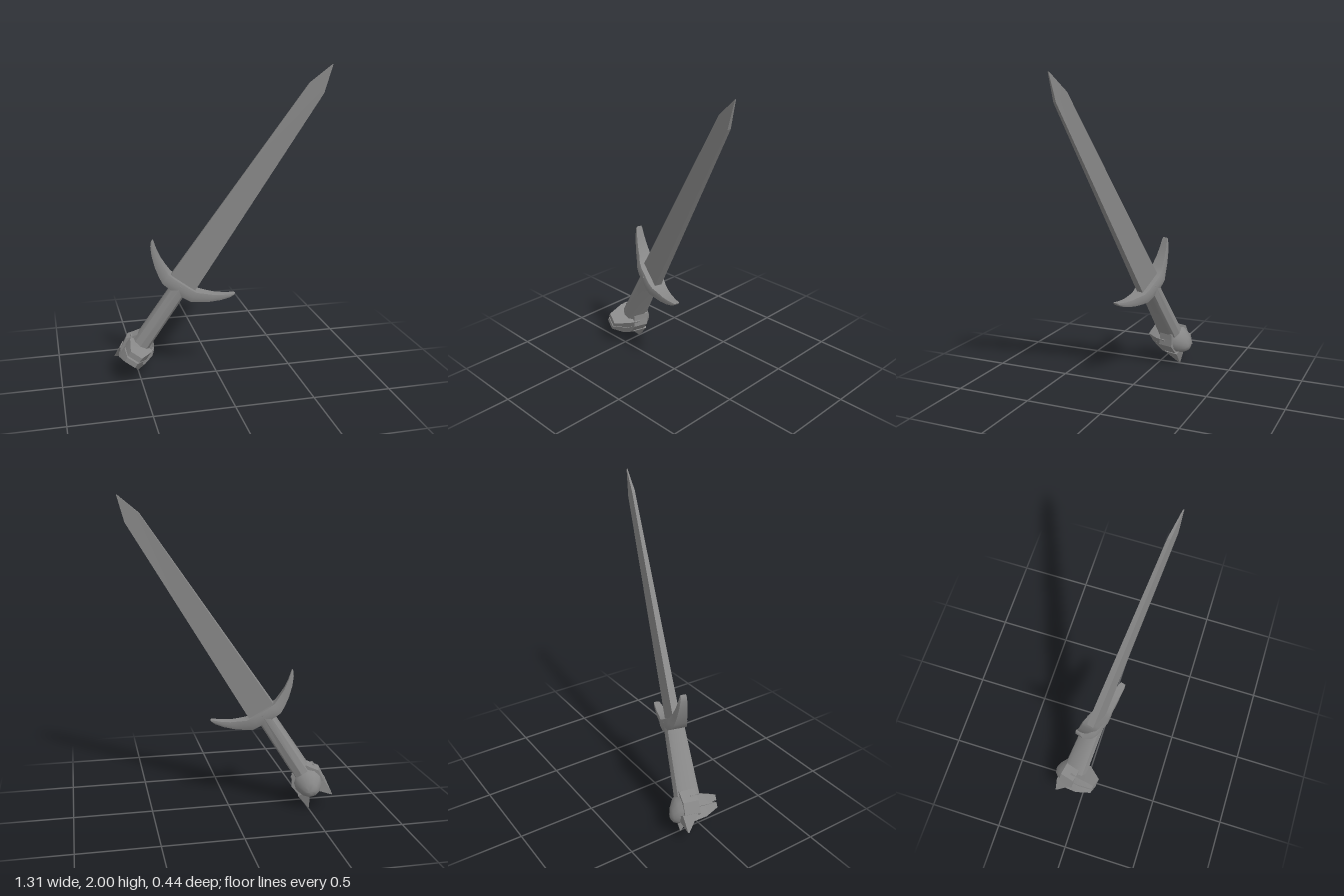
import * as THREE from 'three';
import { toCreasedNormals } from 'three/addons/utils/BufferGeometryUtils.js';

const steel = new THREE.MeshStandardMaterial({ color: 0x888888, side: THREE.DoubleSide });

// Skin a list of equal-length rings of points and cap both ends
function loft(rings, crease = 0.6) {
  const n = rings[0].length, last = rings.length - 1, pos = [];
  const tri = (a, b, c) => pos.push(...a, ...b, ...c);
  for (let i = 0; i < last; i++) {
    for (let j = 0; j < n; j++) {
      const k = (j + 1) % n;
      const a = rings[i][j], b = rings[i][k], c = rings[i + 1][k], d = rings[i + 1][j];
      tri(a, b, c);
      tri(a, c, d);
    }
  }
  for (let j = 1; j < n - 1; j++) {
    tri(rings[0][0], rings[0][j + 1], rings[0][j]);
    tri(rings[last][0], rings[last][j], rings[last][j + 1]);
  }
  const geo = new THREE.BufferGeometry();
  geo.setAttribute('position', new THREE.Float32BufferAttribute(pos, 3));
  return toCreasedNormals(geo, crease);
}

// Cross-sections, wound to face outwards along each axis
const corners = [[-1, -1], [1, -1], [1, 1], [-1, 1]];
const boxY = (y, hx, hz) => corners.map(([u, v]) => [v * hx, y, u * hz]);
const boxZ = (z, hx, y0, y1) => corners.map(([u, v]) => [u * hx, v < 0 ? y0 : y1, z]);
const roundZ = (z, y, hx, hy) => [...Array(12).keys()].map((i) => {
  const a = (i / 12) * Math.PI * 2;
  return [Math.cos(a) * hx, y + Math.sin(a) * hy, z];
});
const gripOutline = [[-1, -0.5], [-0.75, -0.83], [0, -1], [0.75, -0.83], [1, -0.5],
  [1, 0.5], [0.75, 0.83], [0, 1], [-0.75, 0.83], [-1, 0.5]];
const gripY = (y, hx, hz) => gripOutline.map(([u, v]) => [u * hx, y, -v * hz]);
const guardOutline = [[1, -0.85], [1, 0.85], [0, 1], [-1, 0.85], [-1, -0.85], [0, -1]];
const guardX = (x, y, hy, hz) => guardOutline.map(([u, v]) => [x, y + u * hy, v * hz]);

export function createModel() {
  const model = new THREE.Group();
  model.name = 'sword';
  const sword = new THREE.Group();
  sword.name = 'tiltedSword';
  model.add(sword);
  const add = (name, geo, parent = sword) => {
    const mesh = new THREE.Mesh(geo, steel);
    mesh.name = name;
    parent.add(mesh);
  };

  // Long tapering blade with flat edges and a short point
  add('blade', loft([
    boxY(-0.02, 0.093, 0.024), boxY(1.48, 0.053, 0.01), boxY(1.645, 0.002, 0.003),
  ], 0.1));

  // Grip with flat sides, rounded front and back, flaring towards the pommel
  add('grip', loft([
    gripY(-0.55, 0.062, 0.088), gripY(-0.44, 0.055, 0.082), gripY(0, 0.052, 0.066),
  ]));

  // Guard sweeping up on both sides to narrow, blunt tips
  const arm = [
    [0.06, -0.018, 0.036, 0.068], [0.105, -0.016, 0.036, 0.06],
    [0.15, 0.005, 0.034, 0.048], [0.205, 0.036, 0.028, 0.04],
    [0.26, 0.078, 0.022, 0.031], [0.3, 0.118, 0.015, 0.024], [0.312, 0.134, 0.007, 0.019],
  ];
  add('guard', loft([
    ...arm.slice().reverse().map(([x, ...r]) => guardX(-x, ...r)),
    ...arm.map((r) => guardX(...r)),
  ], 0.75));

  // Pommel: a flared plate
  const pommel = new THREE.Group();
  pommel.name = 'pommel';
  sword.add(pommel);
  const half = [[0.055, -0.435], [0.075, -0.465], [0.104, -0.505], [0.094, -0.585]];
  const plate = new THREE.Shape([
    ...half, [0.045, -0.615], [-0.045, -0.615], ...half.map(([x, y]) => [-x, y]).reverse(),
  ].map(([x, y]) => new THREE.Vector2(x, y)));
  const plateGeo = new THREE.ExtrudeGeometry(plate, { depth: 0.1, bevelEnabled: false });
  plateGeo.translate(0, 0, -0.06);
  add('pommelPlate', plateGeo, pommel);

  // Forked tail: two broad points under the plate
  for (const s of [-1, 1]) {
    const base = [[0.01, -0.095], [0.1, -0.075], [0.1, 0.025], [0.01, 0.025]];
    const tip = [[0.085, -0.058], [0.091, -0.058], [0.091, -0.052], [0.085, -0.052]];
    const ring = (pts, y) => {
      const r = pts.map(([x, z]) => [s * x, y, z]);
      return s > 0 ? r.reverse() : r;
    };
    add(s > 0 ? 'leftTail' : 'rightTail', loft([ring(tip, -0.688), ring(base, -0.58)], 0.1), pommel);
  }

  // Blunt cone swelling out of the back of the plate
  add('backBulge', loft([
    roundZ(-0.128, -0.575, 0.018, 0.02), roundZ(-0.116, -0.568, 0.045, 0.048),
    roundZ(-0.085, -0.548, 0.078, 0.082), roundZ(-0.04, -0.53, 0.1, 0.09),
  ], 0.9), pommel);

  // Tapering front block split by a slot into an upper and a lower part
  add('upperFrontBlock', loft([
    boxZ(0, 0.088, -0.535, -0.47), boxZ(0.075, 0.08, -0.535, -0.474),
    boxZ(0.172, 0.042, -0.535, -0.5),
  ], 0.3), pommel);
  add('lowerFrontBlock', loft([
    boxZ(0, 0.085, -0.625, -0.547), boxZ(0.08, 0.075, -0.615, -0.547),
    boxZ(0.172, 0.038, -0.58, -0.547),
  ], 0.6), pommel);
  add('slotCore', loft([
    boxZ(0, 0.07, -0.56, -0.52), boxZ(0.145, 0.042, -0.56, -0.52),
  ], 0.3), pommel);

  // Lean the whole sword so the point is up, left and forward
  const along = new THREE.Vector3(0.535, 0.836, 0.14).normalize();
  const across = new THREE.Vector3(0.8, -0.555, 0.228);
  across.addScaledVector(along, -across.dot(along)).normalize();
  const face = new THREE.Vector3().crossVectors(across, along);
  sword.quaternion.setFromRotationMatrix(new THREE.Matrix4().makeBasis(across, along, face));
  sword.position.set(-0.223, 0.625, -0.012);
  return model;
}
